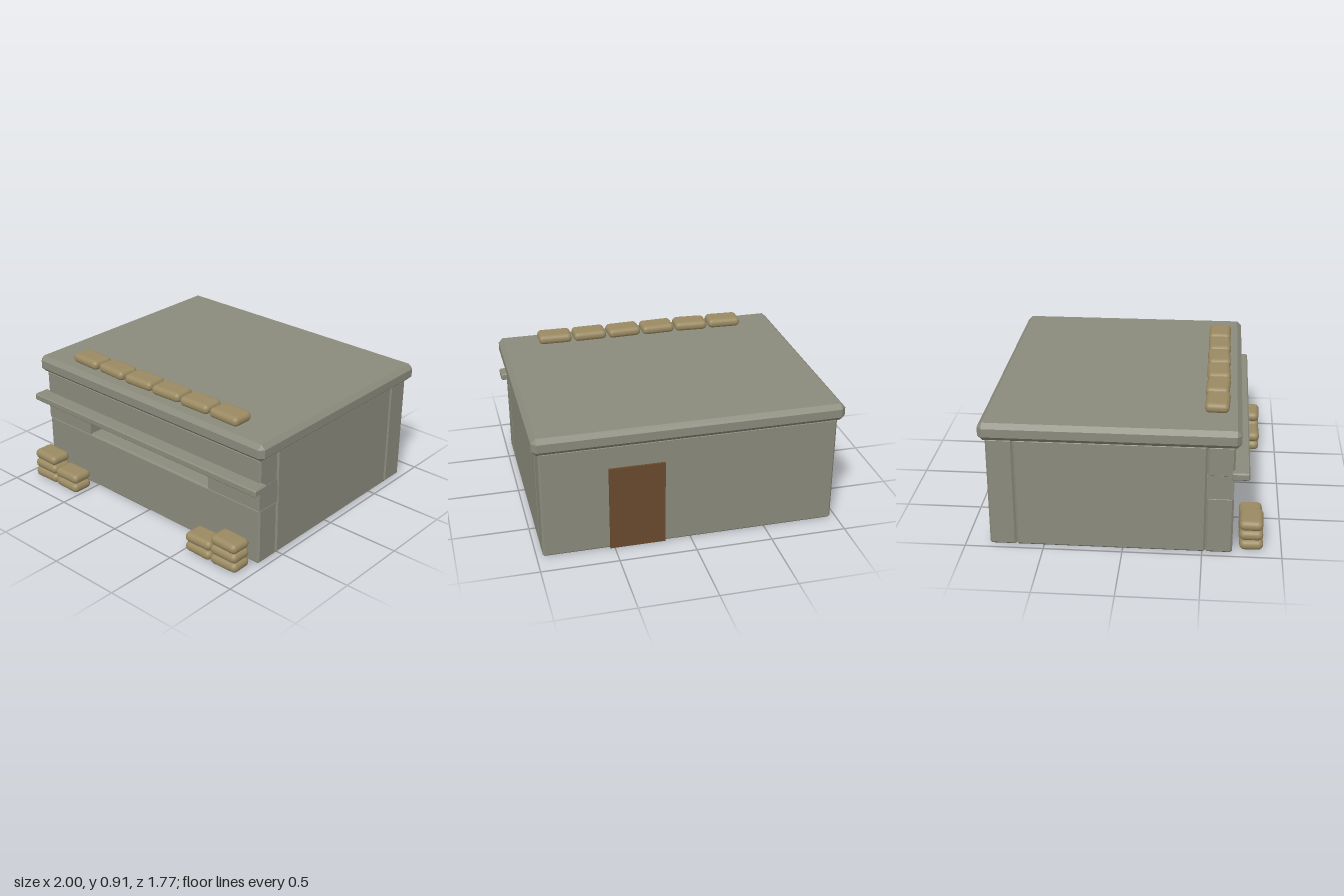
import * as THREE from 'three';
import { ConvexGeometry } from 'three/addons/geometries/ConvexGeometry.js';
import { RoundedBoxGeometry } from 'three/addons/geometries/RoundedBoxGeometry.js';

const material = (name, color) => {
  const m = new THREE.MeshStandardMaterial({ color });
  m.name = name;
  return m;
};

// Box with every edge cut at 45 degrees, as the hull of 24 points
function chamferedBox(w, h, d, c) {
  const points = [];
  for (const x of [-1, 1]) for (const y of [-1, 1]) for (const z of [-1, 1]) {
    for (let axis = 0; axis < 3; axis++) {
      const cut = [c, c, c];
      cut[axis] = 0;
      points.push(new THREE.Vector3(x * (w / 2 - cut[0]), y * (h / 2 - cut[1]), z * (d / 2 - cut[2])));
    }
  }
  return new ConvexGeometry(points);
}

export function createModel() {
  const model = new THREE.Group();
  model.name = 'bunker';
  const concrete = material('concrete', 0x8a8a7c);
  const dark = material('dark interior', 0x242424);
  const wood = material('brown door', 0x694a2e);
  const burlap = material('sandbag burlap', 0x9a8a62);

  // Block given by its limits on each axis
  function block(name, [x0, x1], [y0, y1], [z0, z1], mat, chamfer = 0) {
    const size = [x1 - x0, y1 - y0, z1 - z0];
    const geometry = chamfer ? chamferedBox(...size, chamfer) : new THREE.BoxGeometry(...size);
    const mesh = new THREE.Mesh(geometry, mat);
    mesh.name = name;
    mesh.position.set((x0 + x1) / 2, (y0 + y1) / 2, (z0 + z1) / 2);
    model.add(mesh);
  }

  // Roof slab
  block('roof', [-1, 1], [0.735, 0.85], [-0.885, 0.725], concrete, 0.03);

  // Front wall, open between the two piers
  block('frontWallLower', [-0.96, 0.96], [0, 0.388], [0.52, 0.69], concrete, 0.012);
  block('frontWallUpper', [-0.96, 0.96], [0.53, 0.737], [0.52, 0.69], concrete, 0.012);
  block('pierRight', [-0.96, -0.54], [0.38, 0.54], [0.52, 0.688], concrete);
  block('pierLeft', [0.54, 0.96], [0.38, 0.54], [0.52, 0.688], concrete);
  block('slotLedge', [-1, 1], [0.532, 0.58], [0.67, 0.781], concrete, 0.008);

  // Side and back walls
  block('sideWallRight', [-0.96, -0.78], [0, 0.737], [-0.675, 0.52], concrete, 0.012);
  block('sideWallLeft', [0.78, 0.96], [0, 0.737], [-0.675, 0.52], concrete, 0.012);
  block('backWall', [-0.96, 0.96], [0, 0.737], [-0.845, -0.675], concrete, 0.012);

  // Dark core seen through the slot and from below
  block('interior', [-0.78, 0.78], [0.02, 0.73], [-0.67, 0.522], dark);

  // Back door
  block('door', [0.17, 0.53], [0.004, 0.58], [-0.858, -0.84], wood);

  // Sandbags
  const roofBag = new RoundedBoxGeometry(0.232, 0.064, 0.152, 4, 0.03);
  const groundBag = new RoundedBoxGeometry(0.212, 0.068, 0.15, 4, 0.033);
  function sandbag(name, geometry, x, y, z, turn) {
    const mesh = new THREE.Mesh(geometry, burlap);
    mesh.name = name;
    mesh.position.set(x, y, z);
    mesh.rotation.y = turn;
    model.add(mesh);
  }

  // Row along the roof, each bag slightly turned
  [-0.04, -0.05, 0.04, 0.05, 0.02, -0.02].forEach((turn, i) =>
    sandbag('roofSandbag', roofBag, (i - 2.5) * 0.247, 0.882, 0.571, turn));

  // Stepped stacks at both front corners
  for (const side of [-1, 1]) {
    for (let level = 0; level < 3; level++) {
      const y = 0.035 + level * 0.068;
      sandbag('outerSandbag', groundBag, side * 0.825, y, 0.807, 0.03 - level * 0.03);
      if (level < 2) sandbag('innerSandbag', groundBag, side * 0.615, y, 0.807, level * 0.04 - 0.02);
    }
  }
  return model;
}
